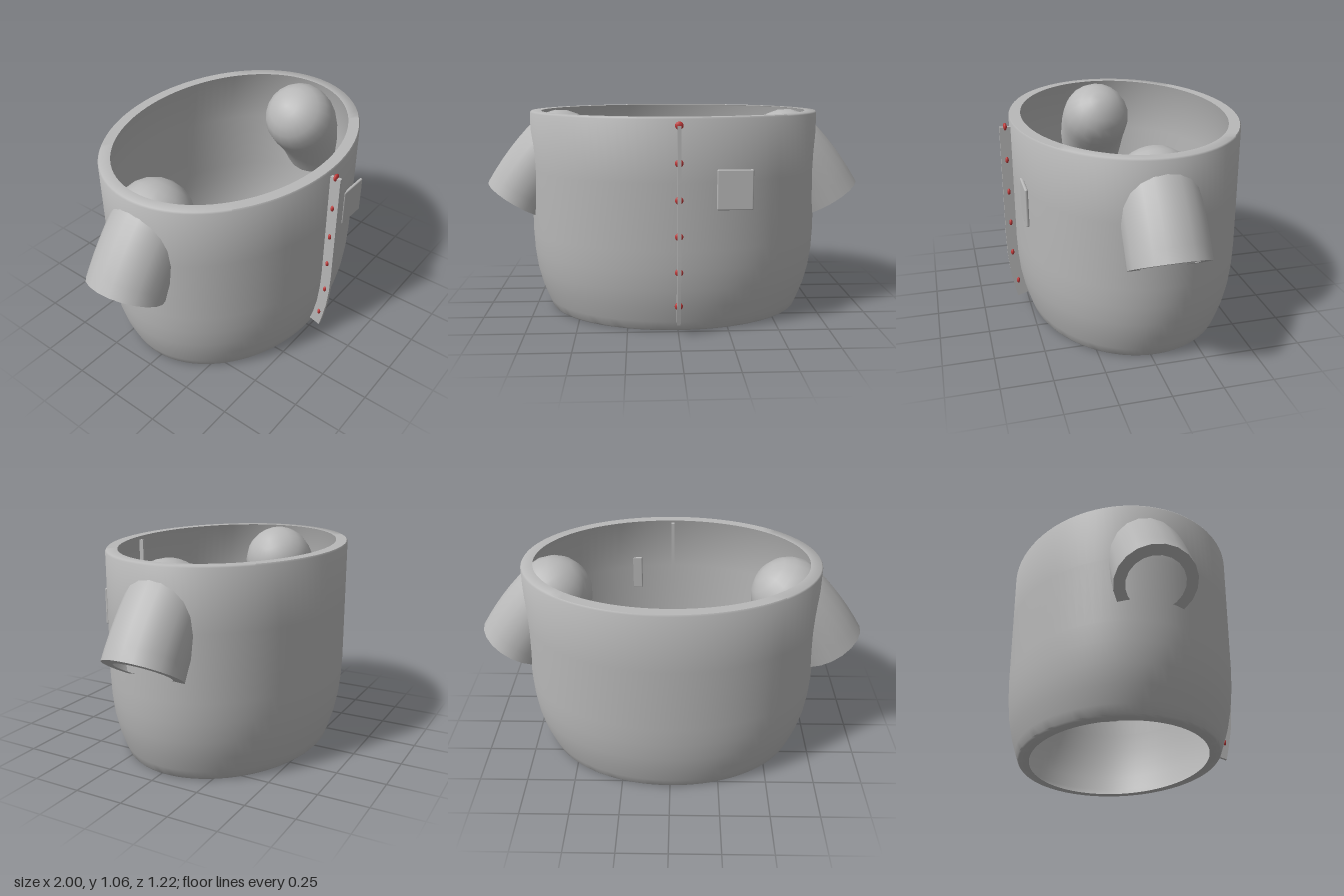
import * as THREE from 'three';
import { toCreasedNormals } from 'three/addons/utils/BufferGeometryUtils.js';
import { RoundedBoxGeometry } from 'three/addons/geometries/RoundedBoxGeometry.js';

const CENTRE_Z = -0.026;

// Lathe a profile, then move each vertex by rule(vertex, profileIndex)
function bentLathe(profile, segments, rule) {
  const points = profile.map(([r, y]) => new THREE.Vector2(r, y));
  const geometry = new THREE.LatheGeometry(points, segments);
  const position = geometry.attributes.position;
  const v = new THREE.Vector3();
  for (let i = 0; i < position.count; i++) {
    v.fromBufferAttribute(position, i);
    rule(v, i % points.length);
    position.setXYZ(i, v.x, v.y, v.z);
  }
  return toCreasedNormals(geometry, 1);
}

// Thin oval shell, tapered at the hem, with flat lips turned inward at both ends
function bodyGeometry() {
  const profile = [[0.61, 0], [0.662, 0], [0.67, 0.008], [0.688, 0.05], [0.719, 0.13],
    [0.742, 0.22], [0.755, 0.32], [0.76, 0.42], [0.76, 0.75], [0.76, 1.047], [0.754, 1.055], [0.7, 1.055]];
  return bentLathe(profile, 96, (v, j) => {
    const isLipEdge = j === 0 || j === profile.length - 1;
    v.z *= isLipEdge ? 0.743 : 0.764;
  });
}

// Thin sleeve: a domed tube bent along a curve, with a flat lip at the open cuff
function sleeveGeometry() {
  const radius = 0.195;
  const curve = new THREE.QuadraticBezierCurve(
    new THREE.Vector2(0.605, 0.863), new THREE.Vector2(0.73, 0.743), new THREE.Vector2(0.83, 0.575));
  const length = curve.getLength();
  const profile = [];
  for (let i = 0; i <= 5; i++) {
    const a = (i / 5) * Math.PI / 2;
    profile.push([radius * Math.sin(a), -radius * Math.cos(a)]);
  }
  for (let i = 1; i <= 6; i++) profile.push([radius, (length * i) / 6]);
  profile.push([0.14, length]);
  return bentLathe(profile, 20, (v) => {
    const t = THREE.MathUtils.clamp(v.y / length, 0, 1);
    const centre = curve.getPoint(t);
    const tangent = curve.getTangent(t);
    const before = Math.min(v.y, 0);
    v.set(centre.x + tangent.x * before + tangent.y * v.x,
      centre.y + tangent.y * before - tangent.x * v.x, v.z);
  });
}

// Thin front strip that follows the taper of the body
function placketGeometry() {
  const front = [[0.565, 0.055], [0.582, 0.13], [0.598, 0.22], [0.607, 0.32], [0.61, 0.42], [0.61, 1.02]];
  const back = front.map(([z, y], i) => [z - 0.08, i === 0 ? 0.078 : y]).reverse();
  const shape = new THREE.Shape([...front, ...back].map(([z, y]) => new THREE.Vector2(z, y)));
  const geometry = new THREE.ExtrudeGeometry(shape, { depth: 0.018, bevelEnabled: false });
  geometry.rotateY(-Math.PI / 2);
  geometry.translate(0.009, 0, 0);
  return toCreasedNormals(geometry, 0.5);
}

export function createModel() {
  const model = new THREE.Group();
  model.name = 'shirt';
  const cloth = new THREE.MeshStandardMaterial({ color: 0xb8b8b8, side: THREE.DoubleSide });
  cloth.name = 'grey cloth';
  const red = new THREE.MeshStandardMaterial({ color: 0xc03a3a });
  red.name = 'red button';

  const add = (name, geometry, material, x = 0, y = 0, z = 0) => {
    const mesh = new THREE.Mesh(geometry, material);
    mesh.name = name;
    mesh.position.set(x, y, z);
    model.add(mesh);
    return mesh;
  };

  add('body', bodyGeometry(), cloth, 0, 0, CENTRE_Z);

  // Sleeves, the right one turned half way round
  const sleeve = sleeveGeometry();
  add('leftSleeve', sleeve, cloth, 0, 0, CENTRE_Z);
  add('rightSleeve', sleeve, cloth, 0, 0, CENTRE_Z).rotation.y = Math.PI;

  add('placket', placketGeometry(), cloth);

  // Buttons down the placket
  const button = new THREE.SphereGeometry(1, 16, 12);
  for (let i = 0; i < 6; i++) {
    const z = i === 5 ? 0.559 : 0.581;
    add('button', button, red, 0, 1.02 - i * 0.174, z).scale.set(0.02, 0.019, 0.01);
  }

  // Chest pocket, its inner end set through the shell
  add('pocket', new RoundedBoxGeometry(0.175, 0.195, 0.016, 3, 0.007), cloth, 0.268, 0.713, 0.534);

  return model;
}
